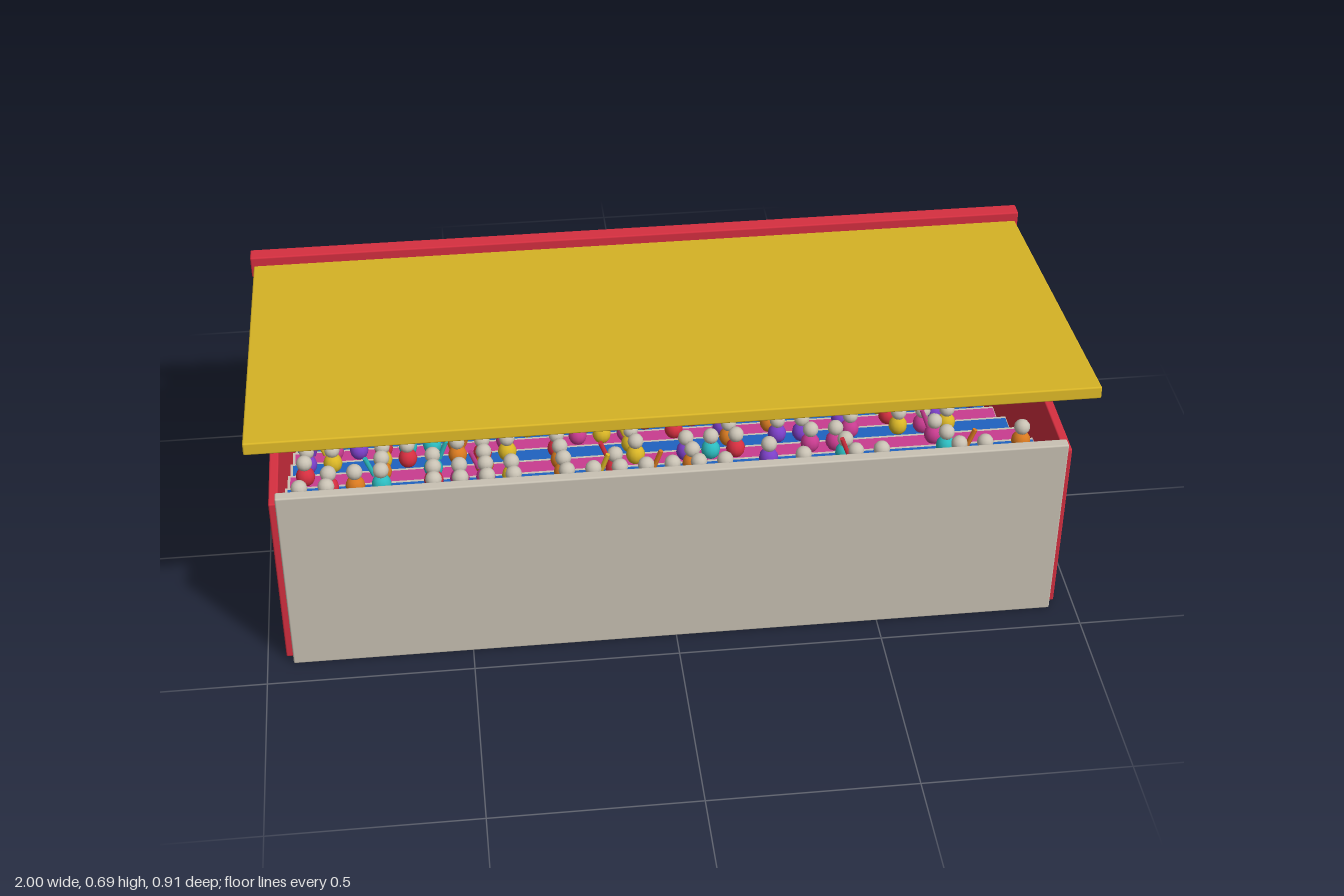
import * as THREE from 'three';
import { RoundedBoxGeometry } from 'three/addons/geometries/RoundedBoxGeometry.js';

const mat = (name, color) => {
  const m = new THREE.MeshStandardMaterial({ color });
  m.name = name;
  return m;
};

export function createModel() {
  const group = new THREE.Group();
  group.name = 'grandstand';
  const concrete = mat('concrete', 0xc9c2b4);
  const red = mat('red', 0xd62f40);
  const yellow = mat('yellow', 0xdab626);
  const blue = mat('blue', 0x1f62c0);
  const pink = mat('pink', 0xc93c90);
  const orange = mat('orange', 0xd97a20);
  const teal = mat('teal', 0x2cbcc0);
  const purple = mat('purple', 0x7c40c8);

  const add = (parent, name, geometry, material, x, y, z) => {
    const mesh = new THREE.Mesh(geometry, material);
    mesh.name = name;
    mesh.position.set(x, y, z);
    parent.add(mesh);
    return mesh;
  };
  // Box given by its x centre and width, and its y and z ranges
  const slab = (name, material, x, w, y0, y1, z0, z1, r = 0.004) => {
    const g = r
      ? new RoundedBoxGeometry(w, y1 - y0, z1 - z0, 2, r)
      : new THREE.BoxGeometry(w, y1 - y0, z1 - z0);
    return add(group, name, g, material, x, (y0 + y1) / 2, (z0 + z1) / 2);
  };

  // Walls
  slab('rearWall', concrete, 0, 1.874, 0, 0.512, 0.408, 0.435);
  slab('pitchWall', concrete, 0, 1.88, 0, 0.095, -0.396, -0.372);
  for (const s of [-1, 1]) {
    slab('sideWall', red, s * 0.944, 0.022, 0, 0.477, -0.356, 0.408);
    slab('roofPost', red, s * 0.91, 0.024, 0.222, 0.562, -0.379, -0.355);
  }

  // Sloping roof and the beam along its low edge
  const roof = add(group, 'roof', new RoundedBoxGeometry(1.985, 0.031, 0.885, 2, 0.004), yellow, 0, 0.631, 0.014);
  roof.rotation.x = -Math.atan2(0.09, 0.87);
  slab('roofBeam', red, 0, 2, 0.568, 0.627, -0.456, -0.415);

  // Spectator shapes, shared by the whole crowd
  const bodyGeo = new THREE.SphereGeometry(0.024, 12, 8).scale(1, 1.1, 1);
  const headGeo = new THREE.SphereGeometry(0.02, 12, 8);
  const armGeo = new THREE.CylinderGeometry(0.006, 0.006, 0.055, 6);
  const shirts = [red, yellow, teal, orange, purple, pink];

  let seed = 11;
  const random = () => {
    seed = (seed * 16807) % 2147483647;
    return seed / 2147483647;
  };
  const spectator = (x, y, z) => {
    const person = new THREE.Group();
    person.name = 'spectator';
    person.position.set(x, y, z);
    const shirt = shirts[Math.floor(random() * shirts.length)];
    add(person, 'body', bodyGeo, shirt, 0, 0.026, 0);
    add(person, 'head', headGeo, concrete, 0, 0.067, 0);
    if (random() < 0.3) {
      const side = random() < 0.5 ? -1 : 1;
      add(person, 'raisedArm', armGeo, shirt, side * 0.026, 0.08, 0).rotation.z = -side * 0.35;
    }
    group.add(person);
  };

  // Terrace steps, benches and crowd
  const rows = 6, run = 0.129, rise = 0.063;
  for (let i = 0; i < rows; i++) {
    const z = -0.367 + i * run, y = i * rise;
    slab('terraceStep', concrete, 0, 1.866, y, y + 0.066, z, z + run, 0);
    const zc = z + run / 2 - 0.004;
    slab('bench', i % 2 ? pink : blue, 0, 1.85, y + 0.066, y + 0.083, zc - 0.032, zc + 0.032, 0);
    for (let k = 0; k < 29; k++) {
      if (random() < 0.55) spectator(-0.885 + k * 0.0632, y + 0.083, zc);
    }
  }
  return group;
}
